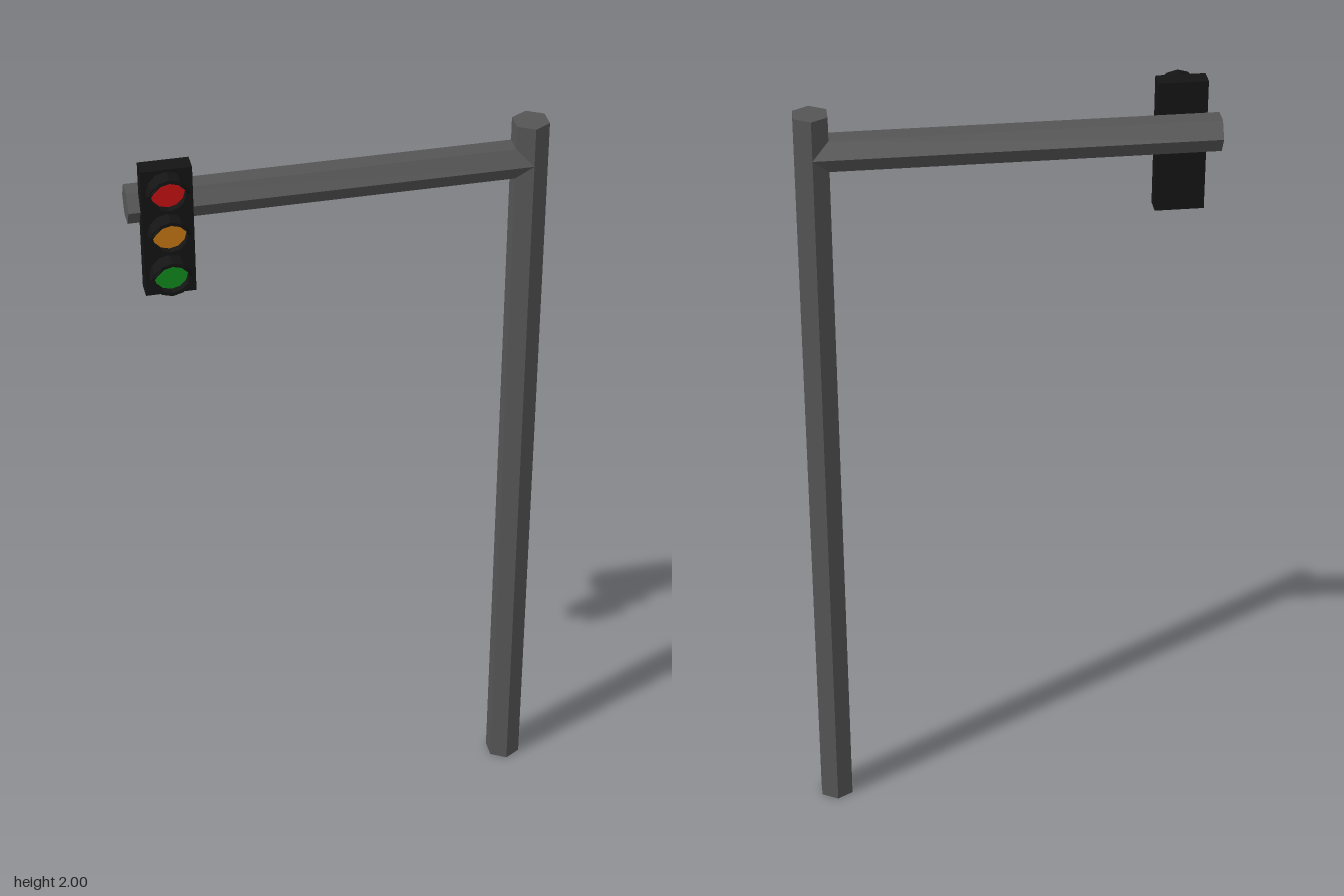
import * as THREE from 'three';

const mat = (color) => new THREE.MeshStandardMaterial({ color, flatShading: true });

function polygon(PathType, radius, sides) {
  const points = [];
  for (let i = 0; i < sides; i++) {
    const a = (i / sides) * Math.PI * 2;
    points.push(new THREE.Vector2(Math.cos(a) * radius, Math.sin(a) * radius));
  }
  return new PathType(points);
}

// Short tube whose front rim reaches further out along its upper part
function visorGeometry() {
  const shape = polygon(THREE.Shape, 0.05, 12);
  shape.holes.push(polygon(THREE.Path, 0.041, 12));
  const geometry = new THREE.ExtrudeGeometry(shape, { depth: 1, bevelEnabled: false, steps: 1 });
  const pos = geometry.attributes.position;
  for (let i = 0; i < pos.count; i++) {
    const reach = THREE.MathUtils.clamp(0.023 + pos.getY(i) * 0.8, 0.023, 0.04);
    pos.setZ(i, pos.getZ(i) * reach);
  }
  geometry.computeVertexNormals();
  return geometry;
}

export function createModel() {
  const model = new THREE.Group();
  const steel = mat(0x555555);
  const black = mat(0x141414);

  const add = (parent, name, geometry, material, x, y, z) => {
    const mesh = new THREE.Mesh(geometry, material);
    mesh.name = name;
    mesh.position.set(x, y, z);
    parent.add(mesh);
    return mesh;
  };

  // Six-sided upright and overhead arm
  add(model, 'pole', new THREE.CylinderGeometry(0.046, 0.046, 1.98, 6), steel, 0.464, 0.99, -0.034);
  const arm = add(model, 'arm', new THREE.CylinderGeometry(0.046, 0.046, 0.968, 6), steel, -0.02, 1.88, -0.034);
  arm.rotation.z = Math.PI / 2;

  // Signal head hung on the front of the arm
  const signal = new THREE.Group();
  signal.name = 'signalHead';
  signal.position.set(-0.416, 1.834, 0);
  model.add(signal);
  add(signal, 'housing', new THREE.BoxGeometry(0.12, 0.333, 0.046), black, 0, 0, 0.013);

  // Three lamps, each in a hooded visor
  const visor = visorGeometry();
  const lens = new THREE.CylinderGeometry(0.0415, 0.0415, 0.008, 12);
  lens.rotateY(Math.PI / 2).rotateX(Math.PI / 2);
  const lamps = [['red', 0xc81212], ['amber', 0xc87814], ['green', 0x128a1e]];
  lamps.forEach(([name, color], i) => {
    const y = (1 - i) * 0.111;
    add(signal, name + 'Visor', visor, black, 0, y, 0.036);
    add(signal, name + 'Lamp', lens, mat(color), 0, y, 0.037);
  });

  return model;
}
